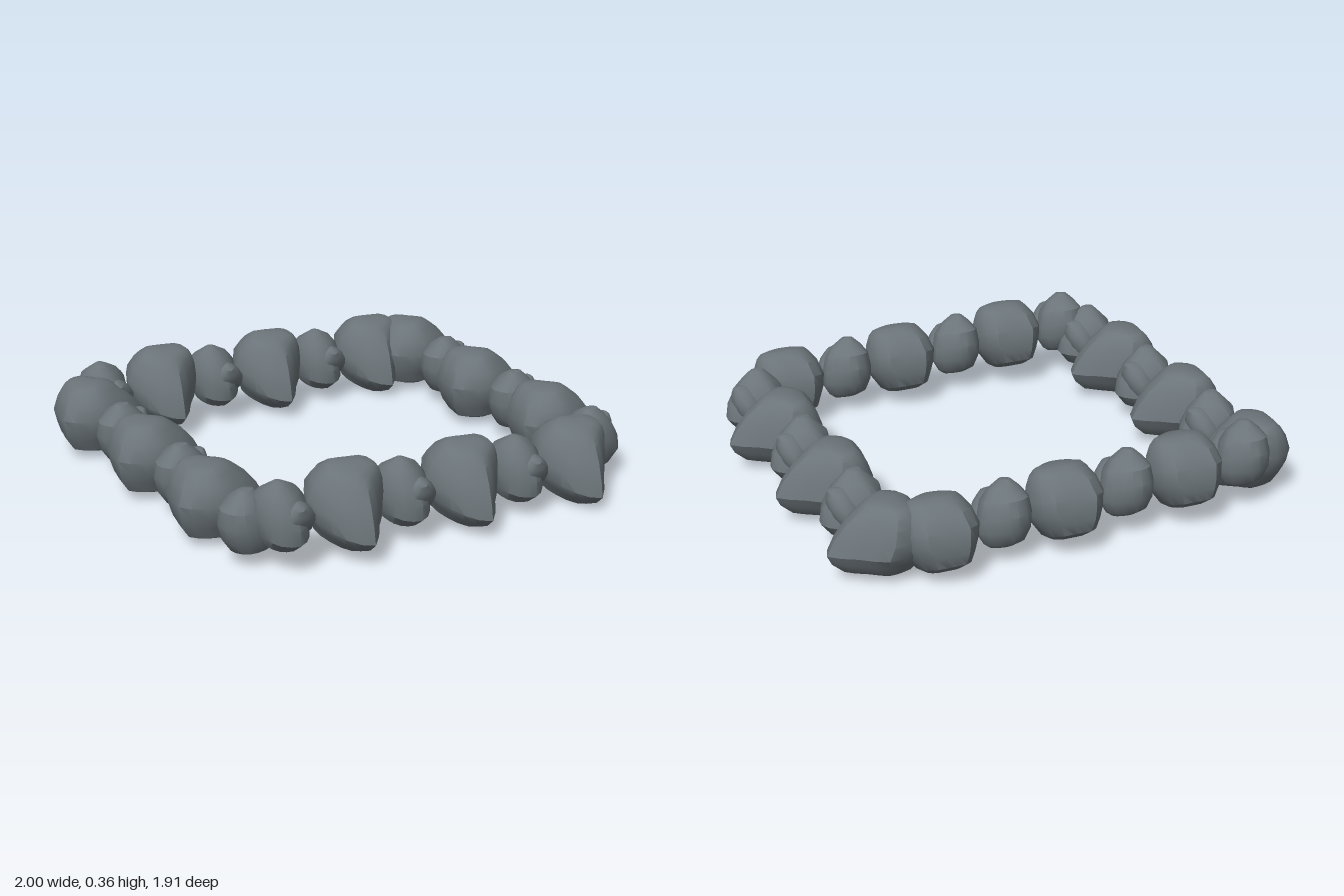
import * as THREE from 'three';
import { toCreasedNormals } from 'three/addons/utils/BufferGeometryUtils.js';

const SIDES = 18;

// Stone from a plan outline [x, z] stretched to each level [y, xMin, xMax, zMin, zMax]
function stoneGeometry(plan, levels) {
  const curve = new THREE.CatmullRomCurve3(
    plan.map(([x, z]) => new THREE.Vector3(x, 0, z)), true, 'centripetal');
  const ring = curve.getSpacedPoints(SIDES).slice(0, SIDES);
  const box = new THREE.Box3().setFromPoints(ring);
  const size = box.getSize(new THREE.Vector3());
  const pos = [], index = [];
  for (const [y, x0, x1, z0, z1] of levels) {
    for (const p of ring) {
      pos.push(
        x0 + (x1 - x0) * (p.x - box.min.x) / size.x, y,
        z0 + (z1 - z0) * (p.z - box.min.z) / size.z);
    }
  }
  const middle = ([y, x0, x1, z0, z1], lift) => pos.push((x0 + x1) / 2, y + lift, (z0 + z1) / 2);
  const last = levels.length - 1;
  const bottom = levels.length * SIDES, top = bottom + 1;
  middle(levels[0], -0.004);
  middle(levels[last], 0.004);
  for (let j = 0; j < SIDES; j++) {
    const k = (j + 1) % SIDES;
    for (let i = 0; i < last; i++) {
      const a = i * SIDES + j, b = i * SIDES + k;
      index.push(a, b, a + SIDES, b, b + SIDES, a + SIDES);
    }
    index.push(bottom, k, j, top, last * SIDES + j, last * SIDES + k);
  }
  const g = new THREE.BufferGeometry();
  g.setAttribute('position', new THREE.Float32BufferAttribute(pos, 3));
  g.setIndex(index);
  return toCreasedNormals(g, 0.6);
}

export function createModel() {
  const model = new THREE.Group();
  model.name = 'stoneBorder';
  const stone = new THREE.MeshStandardMaterial({ color: 0x6b7479 });
  stone.name = 'slate grey stone';

  // Large wedge-shaped boulder, its nose towards +z
  const largeGeo = stoneGeometry(
    [[0.03, 1], [0.5, 0.52], [1, -0.05], [0.78, -0.8], [0.15, -0.95],
      [-0.5, -1], [-1, -0.25], [-0.78, 0.4], [-0.4, 0.82]],
    [[-0.145, -0.07, 0.07, -0.1, 0.06],
      [-0.125, -0.11, 0.1, -0.15, 0.13],
      [-0.08, -0.13, 0.125, -0.18, 0.18],
      [-0.04, -0.15, 0.15, -0.19, 0.2],
      [0.015, -0.155, 0.155, -0.2, 0.17],
      [0.075, -0.135, 0.145, -0.175, 0.12],
      [0.115, -0.105, 0.13, -0.145, 0.07],
      [0.135, -0.085, 0.11, -0.12, 0.04],
      [0.143, -0.05, 0.07, -0.08, 0.01]]);

  // Small upright rock
  const smallGeo = stoneGeometry(
    [[0.05, 1], [0.65, 0.6], [0.95, -0.3], [0, -0.97], [-0.7, -0.8], [-1, -0.3], [-0.7, 0.7]],
    [[-0.125, -0.04, 0.06, -0.05, 0.05],
      [-0.11, -0.08, 0.08, -0.08, 0.09],
      [-0.06, -0.105, 0.105, -0.115, 0.13],
      [0, -0.108, 0.1, -0.13, 0.12],
      [0.06, -0.1, 0.085, -0.12, 0.085],
      [0.1, -0.075, 0.05, -0.08, 0.045],
      [0.13, -0.045, 0, -0.05, 0.01]]);

  function add(name, geo, x, y, z, turn, tilt) {
    const mesh = new THREE.Mesh(geo, stone);
    mesh.name = name;
    mesh.position.set(x, y, z);
    mesh.rotation.set(tilt, turn, 0, 'YXZ');
    model.add(mesh);
    return mesh;
  }

  // Small rock with a chipped lump pushed out of its nose side
  function addSmall(name, ...place) {
    const rock = add(name, smallGeo, ...place);
    const lump = new THREE.Mesh(smallGeo, stone);
    lump.name = 'rockLump';
    lump.scale.set(0.6, 0.62, 0.6);
    lump.position.set(0.03, 0.015, 0.042);
    lump.rotation.set(0.3, 1.3, 0.2);
    rock.add(lump);
  }

  const quarter = Math.PI / 2;
  for (let i = 0; i < 3; i++) {
    // Front and back rows, sinking slightly towards +x
    for (const [side, zLarge, zSmall] of [['front', 0.752, 0.73], ['back', -0.768, -0.79]]) {
      const drift = i * 0.011;
      add(side + 'Boulder', largeGeo, -0.46 + i * 0.522, 0.197 - i * 0.019, zLarge + drift, 0, 0.33);
      addSmall(side + 'SmallRock', -0.73 + i * 0.525, 0.212 - i * 0.016, zSmall + drift, 0, 0.25);
    }
    // Left and right columns, turned a quarter
    for (const [side, xLarge, xSmall] of [['right', -0.8, -0.815], ['left', 0.8, 0.785]]) {
      add(side + 'Boulder', largeGeo, xLarge, 0.165, 0.345 - i * 0.522, quarter, 0);
      addSmall(side + 'SmallRock', xSmall, 0.17, 0.61 - i * 0.522, quarter, 0);
    }
  }
  return model;
}
